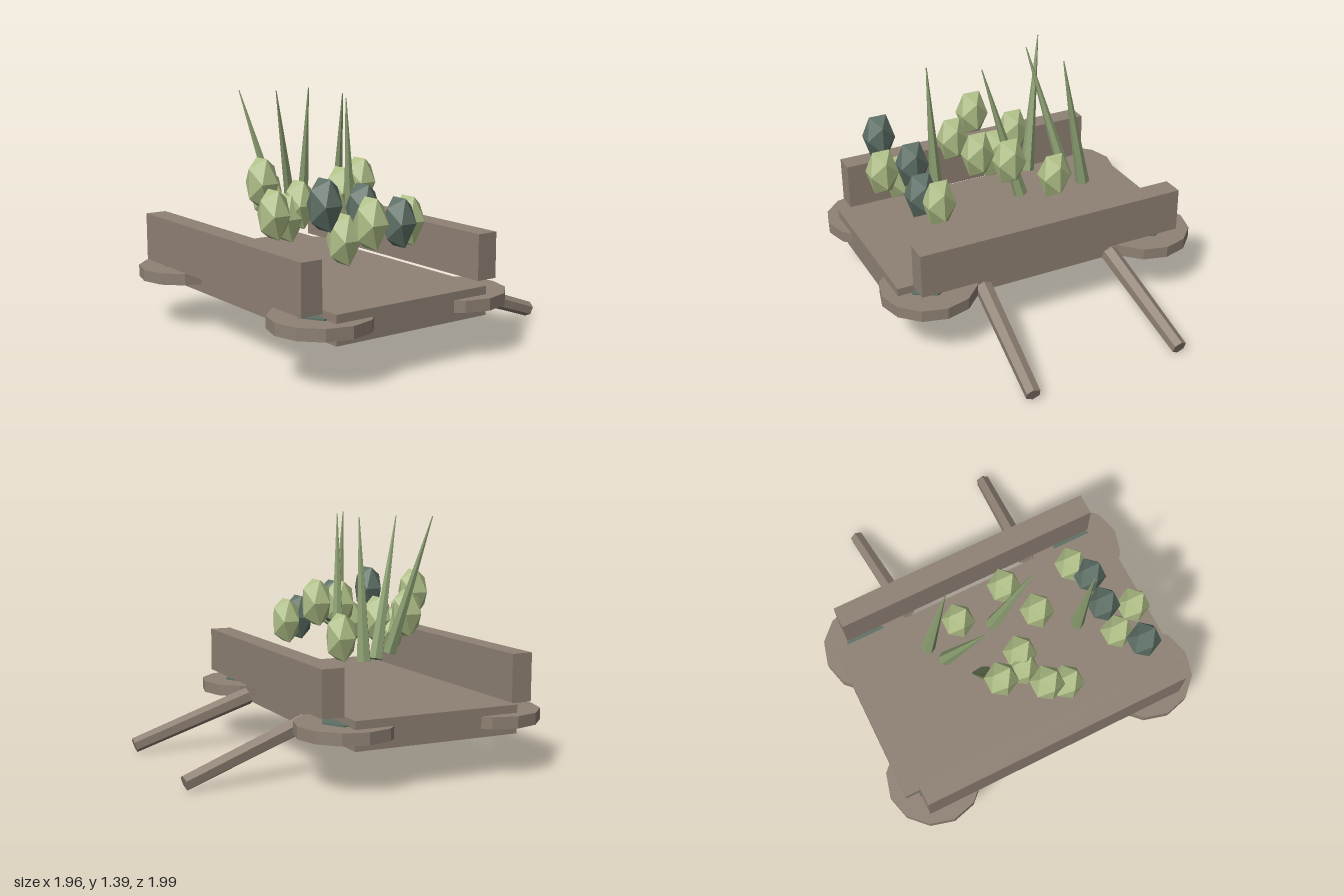
import * as THREE from 'three';

const flat = (name, color) => {
  const m = new THREE.MeshStandardMaterial({ color, flatShading: true });
  m.name = name;
  return m;
};

export function createModel() {
  const wood = flat('wood', 0x8f8174);
  const paleGreen = flat('pale green', 0xb0c088);
  const leafGreen = flat('leaf green', 0x8a9d70);
  const darkGreen = flat('dark green', 0x5f7167);

  const root = new THREE.Group();
  root.name = 'gardenCart';

  const add = (name, geometry, material, x, y, z) => {
    const mesh = new THREE.Mesh(geometry, material);
    mesh.name = name;
    mesh.position.set(x, y, z);
    root.add(mesh);
    return mesh;
  };

  // Tapered rod running from a to b
  const rod = (name, a, b, r0, r1, sides, material) => {
    const start = new THREE.Vector3(...a), end = new THREE.Vector3(...b);
    const dir = end.clone().sub(start);
    const mid = start.clone().add(end).multiplyScalar(0.5);
    const mesh = add(name, new THREE.CylinderGeometry(r1, r0, dir.length(), sides),
      material, mid.x, mid.y, mid.z);
    mesh.quaternion.setFromUnitVectors(new THREE.Vector3(0, 1, 0), dir.normalize());
  };

  // Bed and the two long boards
  add('bed', new THREE.BoxGeometry(1.8, 0.16, 0.985), wood, 0, 0.31, 0.272);
  add('frontBoard', new THREE.BoxGeometry(1.63, 0.275, 0.125), wood, 0, 0.516, 0.85);
  add('backBoard', new THREE.BoxGeometry(1.63, 0.258, 0.128), wood, 0, 0.525, -0.304);

  // Flat wheels with hubs, and rear handles
  const wheel = new THREE.CylinderGeometry(0.278, 0.278, 0.067, 12);
  const hub = new THREE.CylinderGeometry(0.138, 0.138, 0.08, 6);
  for (const s of [-1, 1]) {
    for (const z of [0.717, -0.177]) {
      add('wheel', wheel, wood, s * 0.702, 0.311, z);
      add('wheelHub', hub, darkGreen, s * 0.702, 0.313, z);
    }
    rod('handle', [s * 0.41, 0.293, -0.28], [s * 0.457, 0.045, -0.983], 0.052, 0.044, 6, wood);
  }

  // Spiky leaves: base x, z then tip x, z
  for (const [x, z, tx, tz] of [
    [-0.42, 0.075, -0.295, 0.105],
    [-0.02, 0.11, 0.175, 0.2],
    [-0.36, 0.18, -0.2, 0.39],
    [-0.19, 0.36, -0.355, 0.54],
    [0.425, 0.325, 0.44, 0.37],
  ]) rod('spikeLeaf', [x, 0.6, z], [tx, 1.39, tz], 0.042, 0.003, 6, leafGreen);

  // Faceted buds: x, y, z
  const bud = new THREE.IcosahedronGeometry(0.1, 0).scale(1, 1.57, 0.96);
  const buds = (name, material, list) => list.forEach(p => add(name, bud, material, ...p));
  buds('paleBud', paleGreen, [
    [-0.205, 0.71, 0.04], [0.095, 0.88, 0.025], [0.2, 0.855, 0.23],
    [-0.155, 0.82, 0.49], [0.015, 0.77, 0.385], [-0.003, 0.7, 0.455],
    [0.045, 0.92, 0.645], [0.175, 0.765, 0.655], [0.535, 0.72, 0.025],
    [0.722, 0.775, 0.42], [0.59, 0.68, 0.495],
  ]);
  buds('darkBud', darkGreen, [
    [0.597, 0.73, 0.135], [0.562, 0.82, 0.352], [0.648, 0.885, 0.655],
  ]);

  return root;
}
